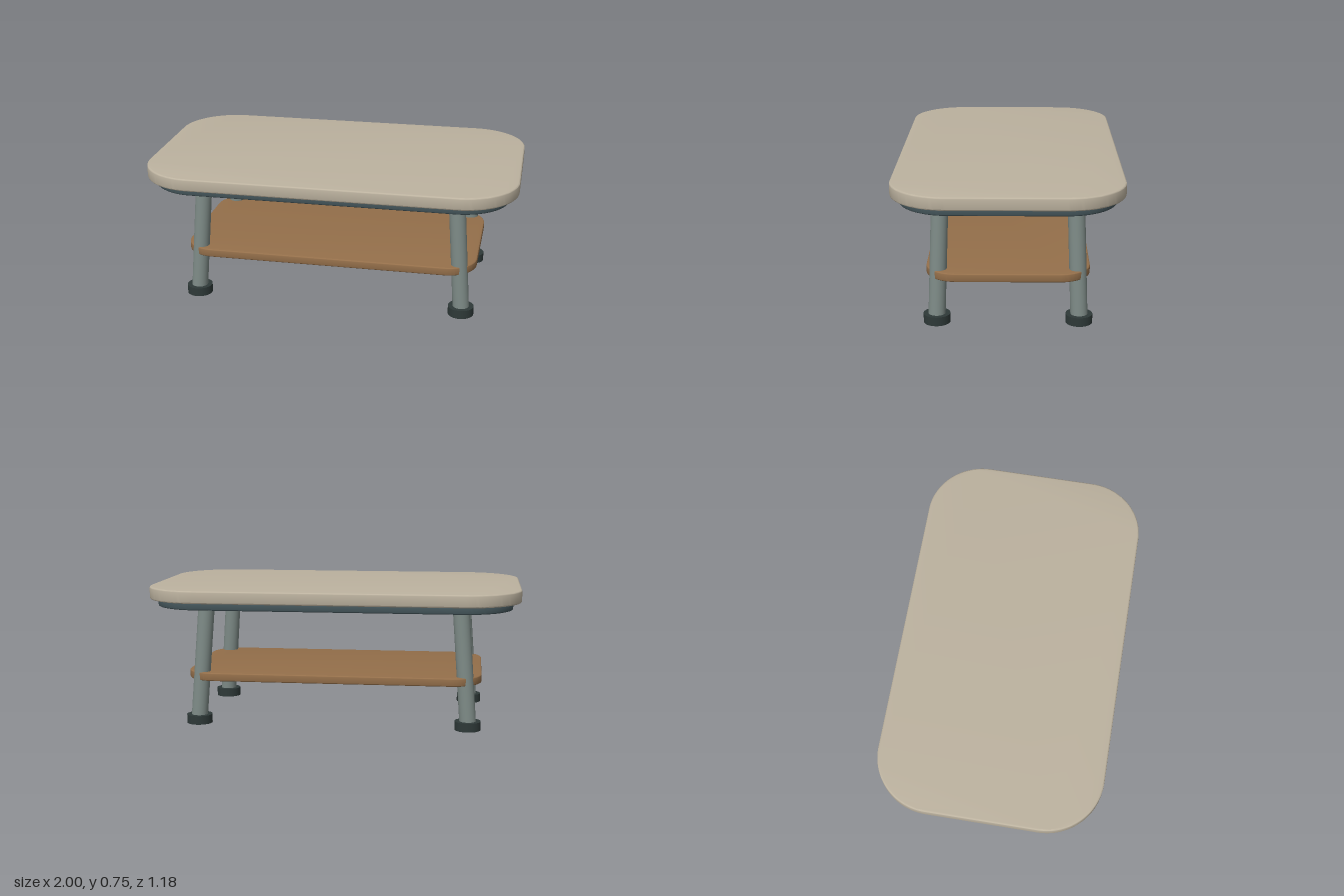
import * as THREE from 'three';
import { toCreasedNormals } from 'three/addons/utils/BufferGeometryUtils.js';

const material = (color) => new THREE.MeshStandardMaterial({ color });

// Rounded slab lying flat between heights y0 and y1, with softened edges
function slab(name, halfX, halfZ, radius, y0, y1, bevel, mat) {
  const x = halfX - bevel, z = halfZ - bevel, r = radius - bevel;
  const shape = new THREE.Shape();
  shape.absarc(x - r, z - r, r, 0, Math.PI / 2);
  shape.absarc(r - x, z - r, r, Math.PI / 2, Math.PI);
  shape.absarc(r - x, r - z, r, Math.PI, Math.PI * 1.5);
  shape.absarc(x - r, r - z, r, Math.PI * 1.5, Math.PI * 2);
  shape.closePath();
  const geometry = new THREE.ExtrudeGeometry(shape, {
    depth: y1 - y0 - 2 * bevel,
    bevelSize: bevel,
    bevelThickness: bevel,
    bevelSegments: 3,
    curveSegments: 16,
  });
  geometry.rotateX(-Math.PI / 2);
  geometry.translate(0, y0 + bevel, 0);
  const mesh = new THREE.Mesh(toCreasedNormals(geometry, 0.6), mat);
  mesh.name = name;
  return mesh;
}

// Round bar between two points
function bar(name, from, to, radius, mat) {
  const axis = to.clone().sub(from);
  const mesh = new THREE.Mesh(new THREE.CylinderGeometry(radius, radius, axis.length(), 32), mat);
  mesh.position.copy(from).add(to).multiplyScalar(0.5);
  mesh.quaternion.setFromUnitVectors(new THREE.Vector3(0, 1, 0), axis.normalize());
  mesh.name = name;
  return mesh;
}

export function createModel() {
  const table = new THREE.Group();
  table.name = 'coffeeTable';
  const legMat = material(0x7d8a86);
  const footMat = material(0x2e3938);

  // Top, the frame just beneath it, and the lower shelf
  table.add(
    slab('tableTop', 1, 0.59, 0.3, 0.679, 0.746, 0.008, material(0xbcb29f)),
    slab('underFrame', 0.955, 0.545, 0.26, 0.64, 0.679, 0.006, material(0x44555a)),
    slab('shelf', 0.797, 0.42, 0.16, 0.24, 0.284, 0.006, material(0x946f4a)),
  );

  // Four splayed legs, each standing on a round foot
  for (const sx of [-1, 1]) {
    for (const sz of [-1, 1]) {
      const corner = new THREE.Group();
      corner.name = (sz > 0 ? 'front' : 'back') + (sx > 0 ? 'Left' : 'Right') + 'Leg';
      corner.add(
        bar('leg', new THREE.Vector3(sx * 0.728, 0.04, sz * 0.364),
          new THREE.Vector3(sx * 0.683, 0.65, sz * 0.342), 0.044, legMat),
        bar('foot', new THREE.Vector3(sx * 0.728, 0, sz * 0.364),
          new THREE.Vector3(sx * 0.728, 0.047, sz * 0.364), 0.069, footMat),
      );
      table.add(corner);
    }
  }
  return table;
}
